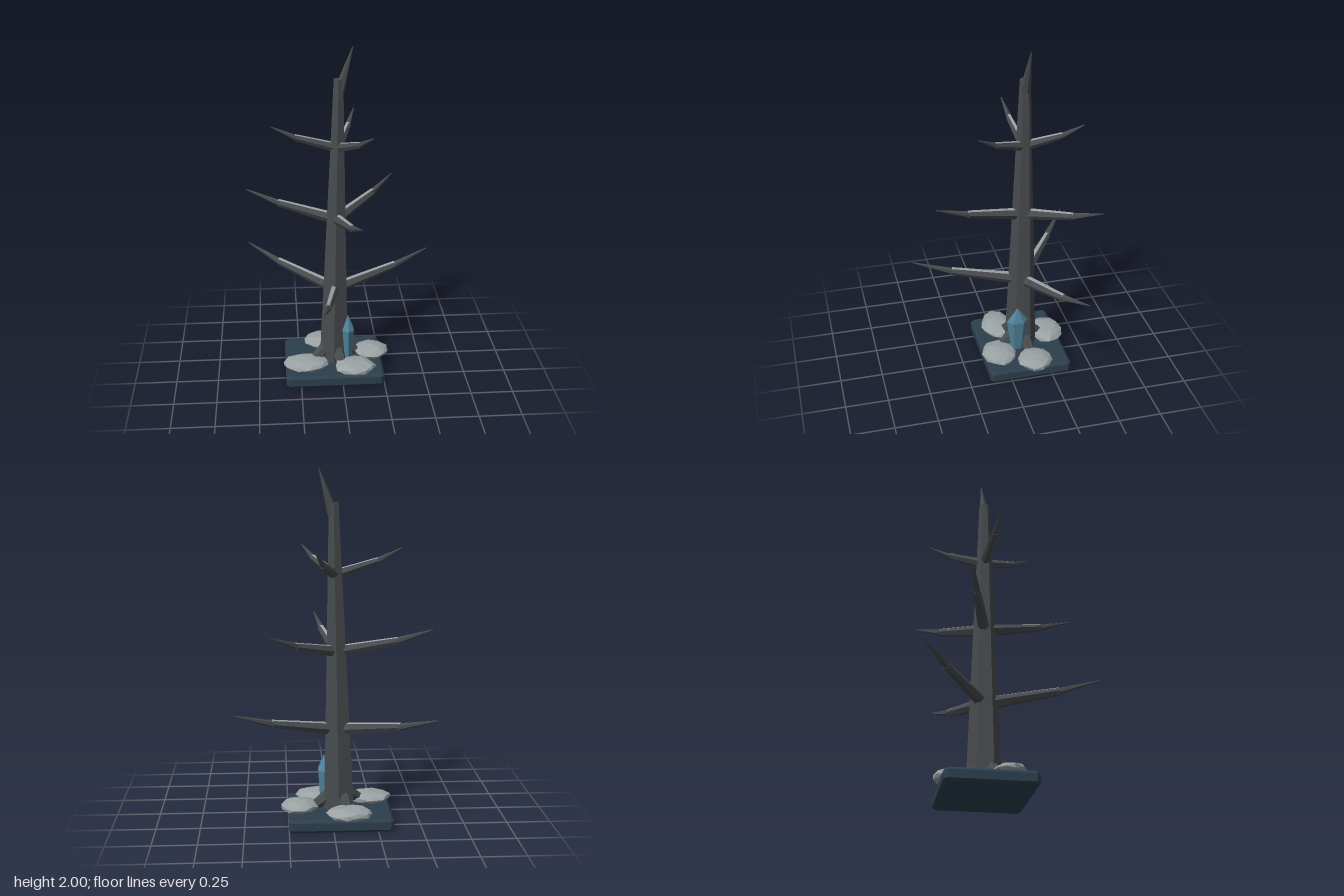
import * as THREE from 'three';

const mat = (color) => new THREE.MeshStandardMaterial({ color, flatShading: true });
const bark = mat(0x484b4e), stone = mat(0x9aa2a4), slate = mat(0x2c3f4d), ice = mat(0x4f8299);
const V = (x, y, z) => new THREE.Vector3(x, y, z);

function add(parent, name, geometry, material) {
  const mesh = new THREE.Mesh(geometry, material);
  mesh.name = name;
  parent.add(mesh);
  return mesh;
}

// Tapered prism running from a to b; roll turns its facets about its axis
function limb(parent, name, a, b, ra, rb, sides, material, roll = 0) {
  const g = new THREE.CylinderGeometry(rb, ra, a.distanceTo(b), sides);
  g.rotateY(roll).rotateX(Math.PI / 2);
  const mesh = add(parent, name, g, material);
  mesh.position.copy(a);
  mesh.lookAt(b);
  mesh.position.lerp(b, 0.5);
  return mesh;
}

// Chamfered slab
function addBase(parent) {
  const hx = 0.28, hz = 0.235, c = 0.012, bevel = 0.015;
  const shape = new THREE.Shape([
    [hx - c, -hz], [hx, -hz + c], [hx, hz - c], [hx - c, hz],
    [-hx + c, hz], [-hx, hz - c], [-hx, -hz + c], [-hx + c, -hz],
  ].map(([x, y]) => new THREE.Vector2(x, y)));
  const g = new THREE.ExtrudeGeometry(shape, {
    depth: 0.045, bevelEnabled: true, bevelSegments: 1, bevelSize: bevel, bevelThickness: bevel,
  });
  g.rotateX(-Math.PI / 2).translate(-0.045, bevel, -0.12);
  add(parent, 'base', g, slate);
}

// Flattened, slightly irregular boulder
function addRock(parent, [x, z, rx, rz, turn]) {
  const g = new THREE.IcosahedronGeometry(1, 1);
  const p = g.attributes.position;
  for (let i = 0; i < p.count; i++) {
    const v = V(0, 0, 0).fromBufferAttribute(p, i);
    const k = 0.95 + 0.07 * Math.sin(v.x * 5 + turn * 3) * Math.cos(v.z * 4 + v.y * 3 + turn);
    p.setXYZ(i, v.x * k, v.y * k, v.z * k);
  }
  g.rotateY(turn).scale(rx, 0.04, rz);
  g.computeVertexNormals();
  add(parent, 'rock', g, stone).position.set(x, 0.092, z);
}

// Two-part branch with a pale strip along the top of its inner part
function addBranch(parent, root, tip, r) {
  const branch = new THREE.Group();
  branch.name = 'branch';
  parent.add(branch);
  const mid = root.clone().lerp(tip, 0.64);
  mid.y -= 0.018;
  limb(branch, 'branchInner', root, mid, r, r * 0.6, 6, bark, Math.PI / 6);
  const inward = mid.clone().lerp(root, 0.04);
  limb(branch, 'branchTip', inward, tip, r * 0.58, 0.003, 6, bark);
  const lift = (v, h) => v.clone().setY(v.y + h);
  const strip = limb(branch, 'frostStrip', lift(root.clone().lerp(mid, 0.12), r * 0.6),
    lift(mid, r * 0.42), r * 0.56, r * 0.36, 6, stone, Math.PI / 6);
  strip.scale.y = 0.7;
}

export function createModel() {
  const model = new THREE.Group();
  model.name = 'bareTree';
  addBase(model);

  // Rocks: x, z, half width, half depth, turn
  [
    [-0.09, -0.30, 0.135, 0.108, 0.4],
    [0.19, -0.155, 0.115, 0.11, 1.3],
    [-0.215, -0.015, 0.15, 0.1, 2.2],
    [0.075, 0.04, 0.13, 0.11, 3.1],
  ].forEach((r) => addRock(model, r));

  // Trunk and bent top spike
  const foot = V(-0.042, 0.06, -0.123), crown = V(-0.01, 1.82, -0.13);
  limb(model, 'trunk', foot, crown, 0.098, 0.031, 6, bark, 0.25);
  limb(model, 'topSpike', V(-0.005, 1.76, -0.13), V(0.07, 2, -0.14), 0.031, 0.003, 6, bark);

  // Roots
  [[-0.085, -0.25], [-0.165, -0.05], [0.09, -0.15], [0.0, 0.0]].forEach(([x, z]) =>
    limb(model, 'root', V(-0.045, 0.19, -0.123), V(x, 0.095, z), 0.045, 0.03, 6, bark, Math.PI / 6));

  // Three tiers of branches: root height, tip height, root radius, tips as x, z
  [
    [0.535, 0.68, 0.037, [[-0.135, 0.515], [0.55, -0.36], [-0.55, -0.52]]],
    [0.985, 1.13, 0.035, [[0.08, 0.4], [0.34, -0.49], [-0.55, -0.27]]],
    [1.42, 1.565, 0.03, [[0.16, 0.17], [0.1, -0.44], [-0.395, -0.09]]],
  ].forEach(([y0, y1, r, tips]) => tips.forEach(([x, z]) => {
    const root = foot.clone().lerp(crown, (y0 - foot.y) / (crown.y - foot.y));
    addBranch(model, root, V(x, y1, z), r);
  }));

  // Crystal leaning on the trunk
  const profile = [[0, 0.09], [0.6, 0.09], [1, 0.285], [0, 0.375]].map(([r, y]) => new THREE.Vector2(r, y));
  const gem = new THREE.LatheGeometry(profile, 6).toNonIndexed();
  gem.scale(0.04, 1, 0.065);
  gem.computeVertexNormals();
  add(model, 'crystal', gem, ice).position.set(0.042, 0, -0.083);

  return model;
}
